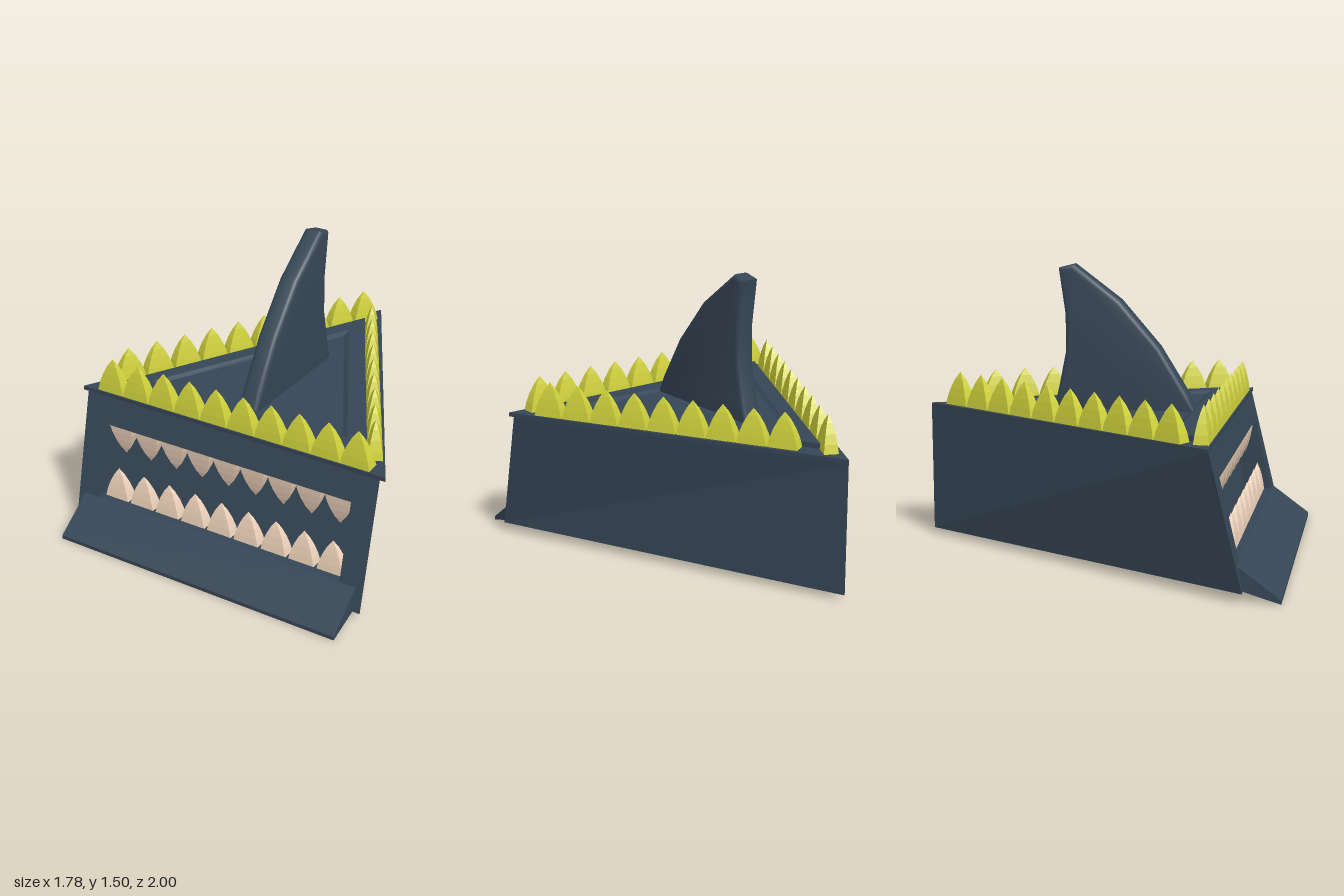
import * as THREE from 'three';
import { toCreasedNormals } from 'three/addons/utils/BufferGeometryUtils.js';

const hull = new THREE.MeshStandardMaterial({ color: 0x364656 });
const spikeMat = new THREE.MeshStandardMaterial({ color: 0xd0d23c, flatShading: true });
const toothMat = new THREE.MeshStandardMaterial({ color: 0xf0d4bc, flatShading: true });

// Triangle ring: front right corner, rear apex, front left corner
const tri = (halfW, frontZ, apexZ, y, apexY = y) =>
  [[halfW, y, frontZ], [0, apexY, apexZ], [-halfW, y, frontZ]];

// Skin a stack of triangle rings, bottom to top, with end caps
function loft(rings, sides = 3) {
  const pos = [];
  const face = (...pts) => pts.forEach((p) => pos.push(...p));
  for (let k = 0; k + 1 < rings.length; k++) {
    const l = rings[k], u = rings[k + 1];
    for (let i = 0; i < sides; i++) {
      const j = (i + 1) % 3;
      face(l[i], l[j], u[j], l[i], u[j], u[i]);
    }
  }
  const [a, b, c] = rings[0];
  face(c, b, a);
  face(...rings[rings.length - 1]);
  const g = new THREE.BufferGeometry();
  g.setAttribute('position', new THREE.Float32BufferAttribute(pos, 3));
  g.computeVertexNormals();
  return g;
}

const polygon = (pts) => new THREE.Shape(pts.map((p) => new THREE.Vector2(...p)));

// Extrude a (z, y) outline sideways, centred on x = 0
function sideProfile(shape, width, bevel = 0) {
  const g = new THREE.ExtrudeGeometry(shape, {
    depth: width - 2 * bevel, bevelEnabled: bevel > 0, bevelSize: bevel,
    bevelThickness: bevel, bevelOffset: -bevel, bevelSegments: 3, curveSegments: 8,
  });
  return g.translate(0, 0, bevel - width / 2).rotateY(-Math.PI / 2);
}

// Four-sided spike with bulging flanks, unit size
const s2 = Math.SQRT2;
const spikeGeo = new THREE.LatheGeometry(
  [[1, 0], [0.87, 0.25], [0.65, 0.52], [0.36, 0.78], [0, 1]]
    .map(([r, y]) => new THREE.Vector2(r * s2, y)), 4, Math.PI / 4);

export function createModel() {
  const model = new THREE.Group();
  const add = (name, geo, mat, parent = model) => {
    const m = new THREE.Mesh(geo, mat);
    m.name = name;
    parent.add(m);
    return m;
  };
  const addGroup = (name) => {
    const g = new THREE.Group();
    g.name = name;
    model.add(g);
    return g;
  };
  const addSpike = (parent, name, mat, x, y, z, halfW, height, halfD, yaw = 0) => {
    const m = add(name, spikeGeo, mat, parent);
    m.position.set(x, y, z);
    m.scale.set(halfW, height, halfD);
    m.rotation.y = yaw;
    return m;
  };

  // Wedge-shaped body, open at the front
  add('body', loft([tri(0.86, 0.82, -1, 0.05, 0.03), tri(0.86, 0.655, -1, 0.716)], 2), hull);

  // Sloping front frame with the mouth opening
  const slant = (y) => 0.832 - 0.25 * y;
  const depth = 0.16;
  const face = polygon([[-0.86, 0.05], [0.86, 0.05], [0.86, 0.712], [-0.86, 0.712]]);
  face.holes.push(new THREE.Path(
    [[-0.73, 0.17], [-0.73, 0.57], [0.73, 0.57], [0.73, 0.17]].map((p) => new THREE.Vector2(...p))));
  const frame = new THREE.ExtrudeGeometry(face, { depth, bevelEnabled: false });
  const p = frame.attributes.position;
  for (let i = 0; i < p.count; i++) {
    const back = depth - p.getZ(i), x = p.getX(i);
    if (Math.abs(x) > 0.8) p.setX(i, x - Math.sign(x) * back * 0.54);
    p.setZ(i, slant(p.getY(i)) - back);
  }
  frame.computeVertexNormals();
  add('mouthFrame', frame, hull);
  const backWall = add('mouthBack', new THREE.BoxGeometry(1.5, 0.46, 0.02), hull);
  backWall.position.set(0, 0.37, slant(0.37) - depth);
  backWall.rotation.x = -Math.atan(0.25);

  // Lower lip ramp
  add('lip', sideProfile(polygon(
    [[0.77, 0.05], [0.82, 0.05], [1, 0], [1, 0.02], [0.79, 0.172], [0.75, 0.172]]), 1.64), hull);

  // Two rows of teeth
  const teeth = addGroup('teeth');
  for (let i = 0; i < 9; i++) {
    const x = -0.64 + 0.1615 * i;
    addSpike(teeth, 'lowerTooth', toothMat, x, 0.17, 0.715, 0.072, 0.17, 0.035);
    addSpike(teeth, 'upperTooth', toothMat, x, 0.57, 0.645, 0.072, 0.17, 0.035).rotation.z = Math.PI;
  }

  // Overhanging rim and raised deck with a shallow sunken centre
  add('rim', loft([tri(0.89, 0.655, -1, 0.714), tri(0.89, 0.655, -1, 0.735)]), hull);
  add('deck', loft([
    tri(0.72, 0.56, -0.8, 0.73), tri(0.72, 0.56, -0.8, 0.762),
    tri(0.58, 0.46, -0.61, 0.762), tri(0.54, 0.435, -0.55, 0.748),
  ]), hull);

  // Spikes along the front and both long edges
  const spikes = addGroup('spikes');
  for (let i = 0; i < 10; i++) {
    addSpike(spikes, 'frontSpike', spikeMat, -0.72 + 0.16 * i, 0.735, 0.61, 0.079, 0.18, 0.037);
  }
  const yaw = Math.atan2(1, 0.55);
  for (const [side, count, start] of [[1, 9, 0.475], [-1, 10, 0.46]]) {
    for (let i = 0; i < count; i++) {
      const z = start - 0.1425 * i;
      addSpike(spikes, 'sideSpike', spikeMat, side * 0.55 * (z + 0.87), 0.735, z,
        0.079, 0.18, 0.037, -side * yaw);
    }
  }

  // Swept dorsal fin with rounded edges
  const fin = sideProfile(polygon([
    [-0.3, 0.73], [0.47, 0.73], [0.42, 0.84], [0.27, 1.08], [0.06, 1.32], [-0.19, 1.505],
    [-0.27, 1.485], [-0.234, 1.24], [-0.234, 1.04], [-0.27, 0.86],
  ]), 0.108, 0.024);
  add('fin', toCreasedNormals(fin, 0.8), hull).position.x = 0.005;

  return model;
}
